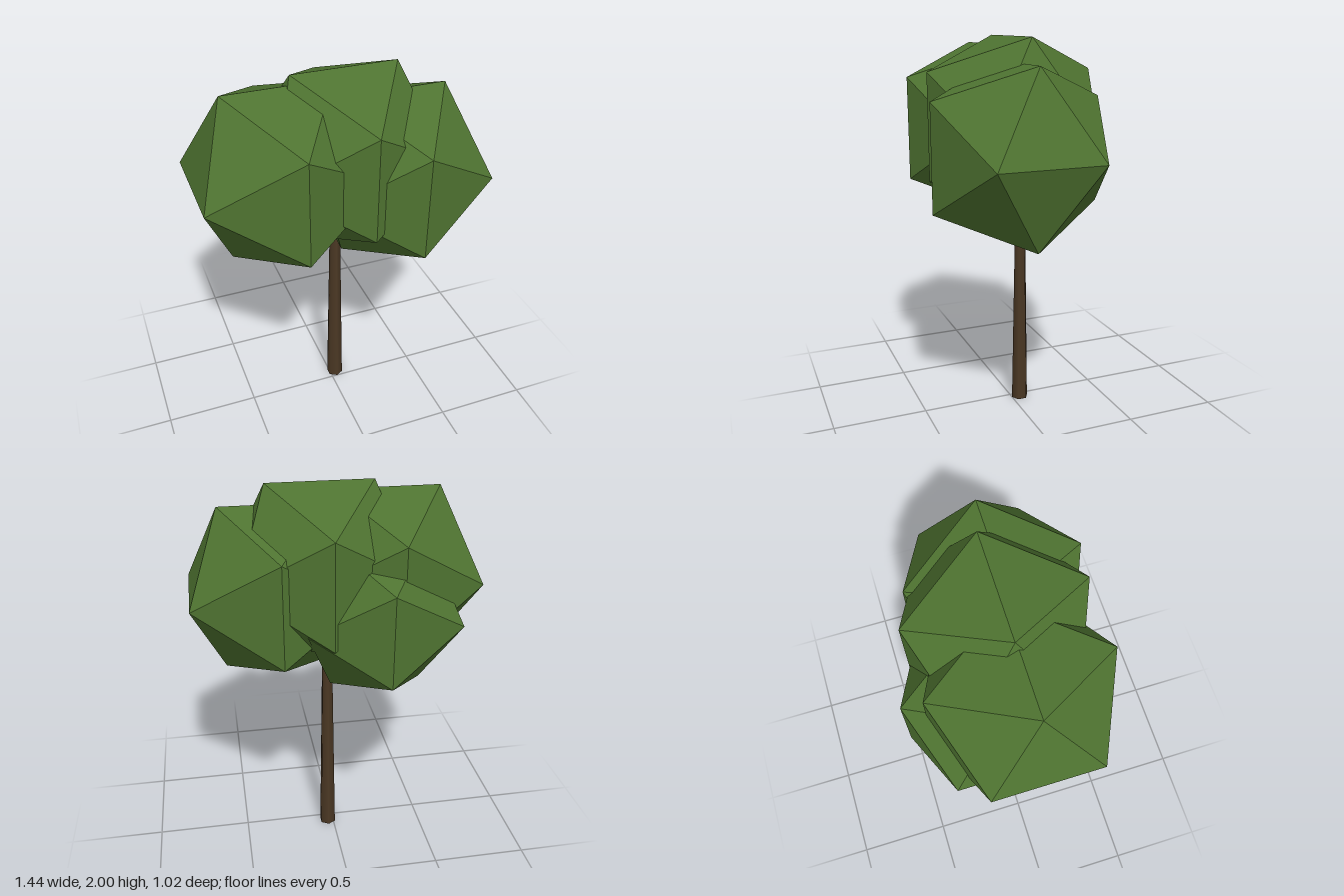
import * as THREE from 'three';

export function createModel() {
  const tree = new THREE.Group();
  tree.name = 'tree';

  const leaf = new THREE.MeshStandardMaterial({ color: 0x4f7431 });
  leaf.name = 'leaf green';
  leaf.flatShading = true;
  const bark = new THREE.MeshStandardMaterial({ color: 0x4b3824 });
  bark.name = 'bark brown';

  // Slim six-sided trunk, tapering up into the crown
  const height = 1.3;
  const trunk = new THREE.Mesh(new THREE.CylinderGeometry(0.025, 0.046, height, 6), bark);
  trunk.name = 'trunk';
  trunk.position.set(0.031, height / 2, -0.046);
  tree.add(trunk);

  // Crown of four overlapping faceted clumps: name, radius, centre
  const crown = new THREE.Group();
  crown.name = 'crown';
  const clumps = [
    ['rightClump', 0.515, -0.282, 1.517, 0.031],
    ['leftClump', 0.508, 0.287, 1.448, 0.078],
    ['topClump', 0.514, 0.053, 1.563, 0.018],
    ['backClump', 0.452, -0.21, 1.355, -0.126],
  ];
  for (const [name, radius, x, y, z] of clumps) {
    const clump = new THREE.Mesh(new THREE.IcosahedronGeometry(radius, 0), leaf);
    clump.name = name;
    clump.position.set(x, y, z);
    crown.add(clump);
  }
  tree.add(crown);

  return tree;
}
